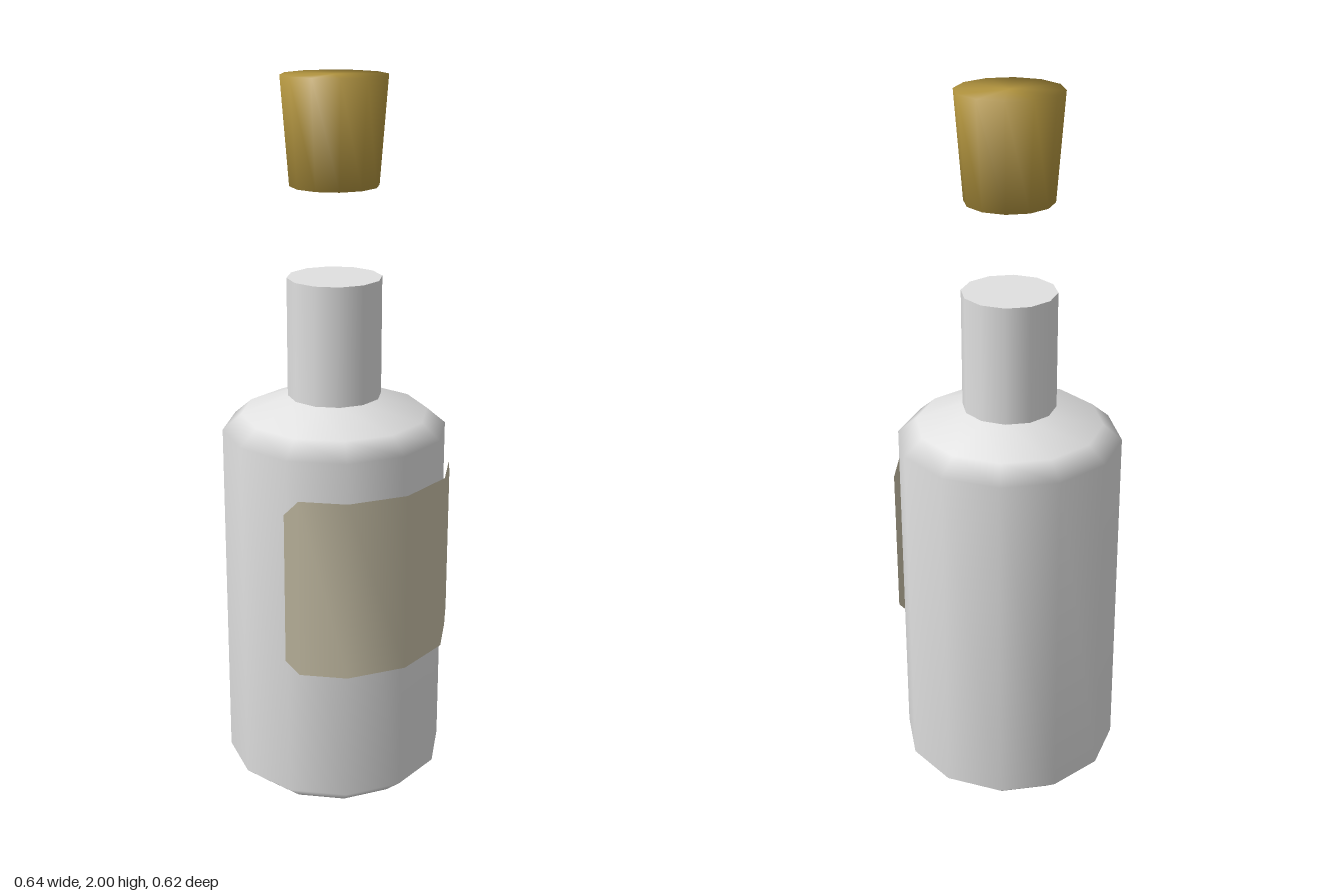
import * as THREE from 'three';

const SIDES = 12;
const AXIS_X = -0.0095; // the label stands proud on +x, so the bottle axis sits slightly to -x

function material(name, color, side = THREE.FrontSide) {
  const m = new THREE.MeshStandardMaterial({ color, side });
  m.name = name;
  return m;
}

// Twelve-sided turned solid from [radius, height] pairs, listed bottom to top
function turned(name, profile, mat) {
  const points = profile.map(([r, y]) => new THREE.Vector2(r, y));
  const mesh = new THREE.Mesh(new THREE.LatheGeometry(points, SIDES), mat);
  mesh.name = name;
  return mesh;
}

// Curved sheet with clipped corners, wrapped over four facets on the +x side
function labelGeometry(radius, bottom, top, clip) {
  const corner = (deg) => {
    const a = THREE.MathUtils.degToRad(deg);
    return new THREE.Vector3(radius * Math.cos(a), 0, radius * Math.sin(a));
  };
  const clipped = (sign) => corner(60 * sign).lerp(corner(30 * sign), 0.23);
  const columns = [corner(60), clipped(1), corner(30), corner(0), corner(-30), clipped(-1), corner(-60)];
  const positions = [];
  const index = [];
  columns.forEach((p, i) => {
    const inset = i === 0 || i === columns.length - 1 ? clip : 0;
    positions.push(p.x, bottom + inset, p.z, p.x, top - inset, p.z);
    if (i > 0) {
      const a = 2 * (i - 1);
      index.push(a, a + 2, a + 1, a + 1, a + 2, a + 3);
    }
  });
  const geometry = new THREE.BufferGeometry();
  geometry.setAttribute('position', new THREE.Float32BufferAttribute(positions, 3));
  geometry.setIndex(index);
  geometry.computeVertexNormals();
  return geometry;
}

export function createModel() {
  const glass = material('pale glass', 0xe0e0e0);
  const paper = material('label paper', 0xc9c1a8, THREE.DoubleSide);
  const corkBrown = material('cork brown', 0xb3953f);

  const model = new THREE.Group();
  model.name = 'corkedBottle';

  // Body with bevelled foot and sloping shoulder
  const body = turned('body', [
    [0, 0], [0.255, 0], [0.3125, 0.05], [0.3125, 1.045], [0.26, 1.09], [0.13, 1.14],
  ], glass);

  // Straight neck and its flat closed mouth
  const neck = turned('neck', [[0.13, 1.14], [0.13, 1.47]], glass);
  const mouth = turned('mouth', [[0.13, 1.47], [0, 1.47]], glass);

  // Tapered cork floating above the mouth
  const cork = turned('cork', [[0, 1.715], [0.12, 1.715], [0.142, 2], [0, 2]], corkBrown);

  const label = new THREE.Mesh(labelGeometry(0.3295, 0.43, 0.94, 0.04), paper);
  label.name = 'label';

  model.add(body, neck, mouth, cork, label);
  model.children.forEach((part) => { part.position.x = AXIS_X; });
  return model;
}
